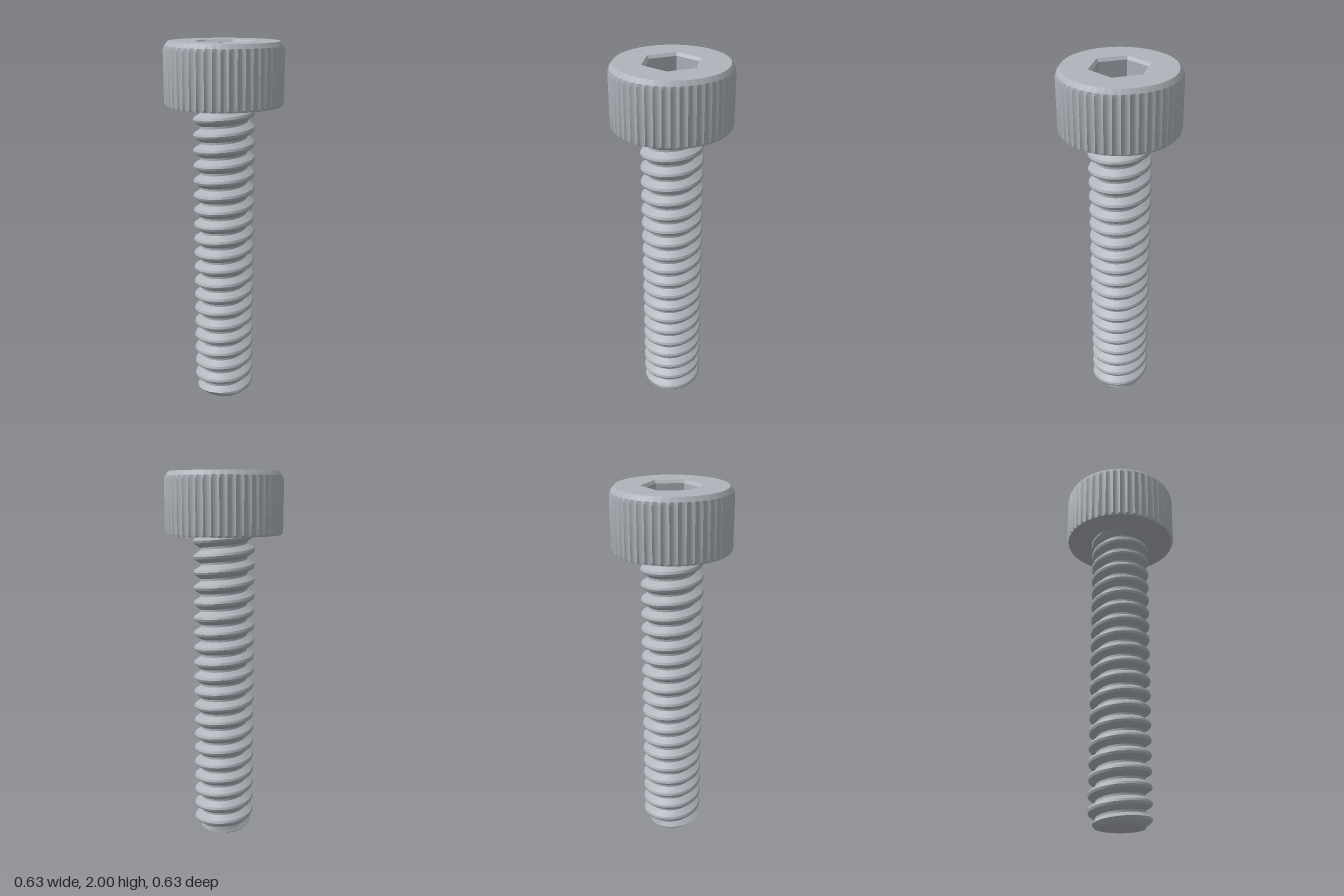
import * as THREE from 'three';
import { toCreasedNormals } from 'three/addons/utils/BufferGeometryUtils.js';

const HEAD_BASE = 1.672, TOP = 2, RIM = 0.2915, HEX = 0.16;
const points = (list) => list.map(([r, y]) => new THREE.Vector2(r, y));

// Head side and underside: a lathe cut by 48 concave scallops
function headGeometry() {
  const ridges = 48;
  const profile = points([[0, HEAD_BASE], [0.306, HEAD_BASE], [0.316, HEAD_BASE + 0.01],
    [0.316, 1.957], [0.309, 1.977], [RIM, TOP]]);
  const geo = new THREE.LatheGeometry(profile, ridges * 6);
  const pos = geo.attributes.position;
  for (let i = 0; i < pos.count; i++) {
    const x = pos.getX(i), z = pos.getZ(i), r = Math.hypot(x, z);
    if (r < 1e-6) continue;
    const limit = 0.316 - 0.01 * Math.abs(Math.sin(Math.atan2(x, z) * ridges / 2));
    const k = Math.min(r, limit) / r;
    pos.setX(i, x * k);
    pos.setZ(i, z * k);
  }
  return toCreasedNormals(geo, 0.55);
}

// Flat top of the head with a hexagonal opening
function topGeometry() {
  const shape = new THREE.Shape().absarc(0, 0, RIM, 0, Math.PI * 2);
  const corners = [];
  for (let i = 0; i < 6; i++) {
    const a = -i * Math.PI / 3;
    corners.push(new THREE.Vector2(HEX * Math.cos(a), HEX * Math.sin(a)));
  }
  shape.holes.push(new THREE.Path(corners));
  return new THREE.ShapeGeometry(shape, 144).rotateX(-Math.PI / 2).translate(0, TOP, 0);
}

// Six-sided recess with a chamfered mouth and a flat floor
function socketGeometry() {
  const profile = points([[HEX, TOP], [0.145, TOP - 0.015], [0.145, 1.83], [0, 1.83]]);
  const geo = new THREE.LatheGeometry(profile, 6, Math.PI / 2).toNonIndexed();
  geo.computeVertexNormals();
  return geo;
}

// Right-handed thread: one tooth profile swept up a helix, trimmed at both ends
function threadGeometry() {
  const pitch = 1 / 12, steps = 64, root = 0.127;
  const tooth = [[-0.43, root], [-0.15, 0.162], [0, 0.167], [0.15, 0.162], [0.43, root], [0.57, root]];
  const vertex = (i, [u, r]) => {
    const a = (i / steps) * Math.PI * 2;
    const rise = 0.04 + (i / steps - 0.25 + u) * pitch;
    const y = THREE.MathUtils.clamp(rise, 0, HEAD_BASE);
    const radius = Math.min(r, 0.13 + y);
    return [radius * Math.sin(a), y, radius * Math.cos(a)];
  };
  const out = [];
  for (let i = -2 * steps; i < 22 * steps; i++) {
    for (let j = 0; j < tooth.length - 1; j++) {
      const a = vertex(i, tooth[j]), b = vertex(i + 1, tooth[j]);
      const c = vertex(i + 1, tooth[j + 1]), d = vertex(i, tooth[j + 1]);
      for (const tri of [[a, b, c], [a, c, d]]) {
        const ys = tri.map((p) => p[1]);
        if (Math.max(...ys) > 0 && Math.min(...ys) < HEAD_BASE) out.push(...tri.flat());
      }
    }
  }
  const geo = new THREE.BufferGeometry();
  geo.setAttribute('position', new THREE.Float32BufferAttribute(out, 3));
  return toCreasedNormals(geo, 0.5);
}

export function createModel() {
  const steel = new THREE.MeshStandardMaterial({ color: 0xaeb4bb });
  steel.name = 'steel grey';
  const model = new THREE.Group();
  model.name = 'socketHeadScrew';

  const add = (parent, name, geometry) => {
    const mesh = new THREE.Mesh(geometry, steel);
    mesh.name = name;
    parent.add(mesh);
  };

  const head = new THREE.Group();
  head.name = 'head';
  add(head, 'knurledSide', headGeometry());
  add(head, 'topFace', topGeometry());
  add(head, 'hexSocket', socketGeometry());

  const shank = new THREE.Group();
  shank.name = 'shank';
  add(shank, 'thread', threadGeometry());
  add(shank, 'tipFace', new THREE.CircleGeometry(0.13, 64).rotateX(Math.PI / 2));

  model.add(head, shank);
  return model;
}
